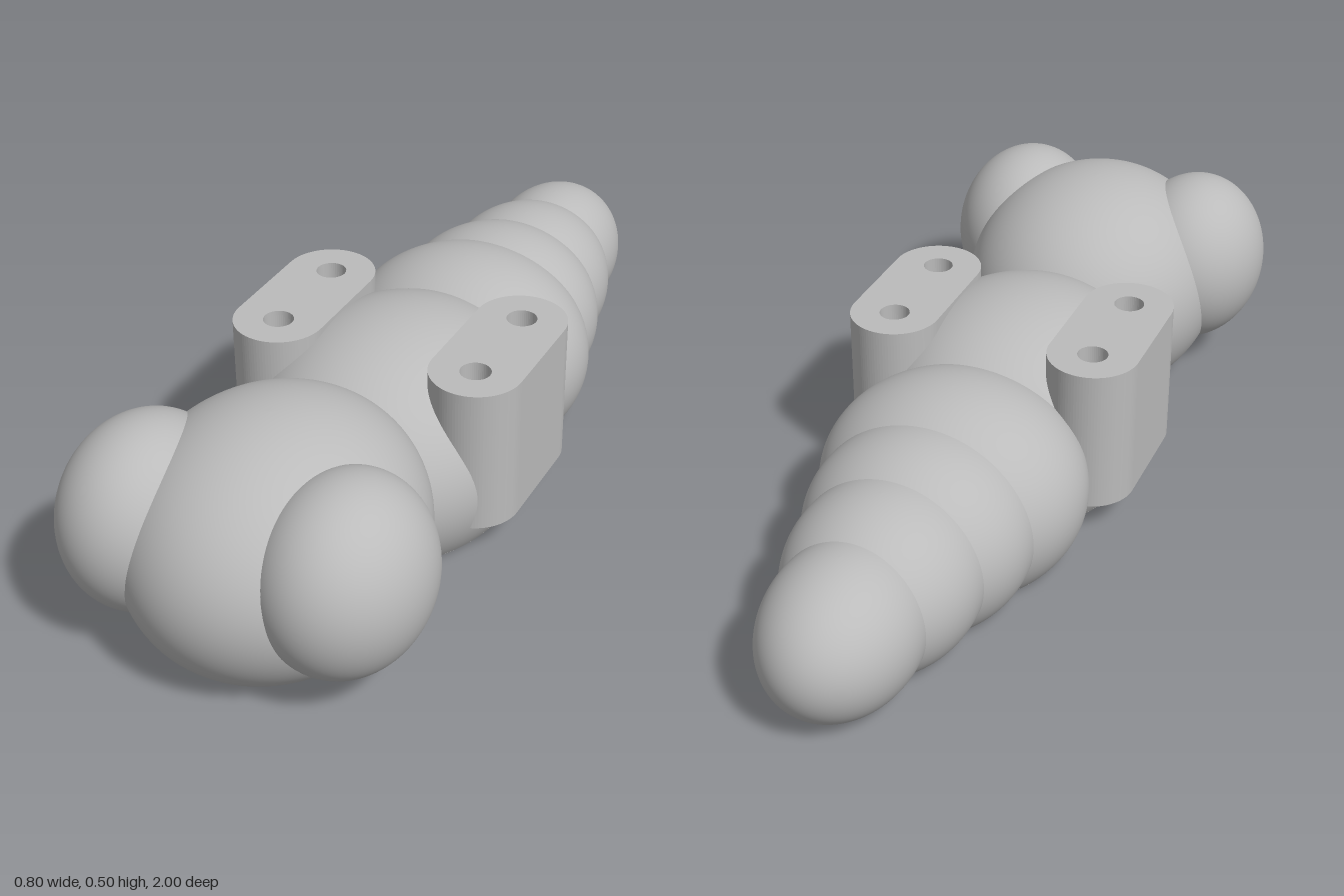
import * as THREE from 'three';

// Body segments, head to tail: centre height and depth, radii, and the depth range kept
const SEGMENTS = [
  { name: 'head', cy: 0.22, cz: 0.645, r: [0.31, 0.285, 0.355], range: [0.25, 1] },
  { name: 'thorax', cy: 0.15, cz: 0.12, r: [0.324, 0.285, 0.385], range: [-0.16, 0.6] },
  { name: 'abdomenFront', cy: 0.155, cz: -0.245, r: [0.3, 0.25, 0.28], range: [-0.6, -0.08] },
  { name: 'abdomenMiddle', cy: 0.155, cz: -0.425, r: [0.252, 0.225, 0.25], range: [-0.7, -0.36] },
  { name: 'abdomenRear', cy: 0.155, cz: -0.595, r: [0.21, 0.2, 0.245], range: [-0.9, -0.5] },
  { name: 'tail', cy: 0.155, cz: -0.78, r: [0.165, 0.172, 0.22], range: [-1, -0.66] },
];
const SOCKETS = [{ z: -0.01, r: 0.05 }, { z: -0.25, r: 0.056 }];
const SOCKET_DEPTH = 0.25;

// Ellipsoid cut flat at the ground and trimmed where it enters its neighbours
function segmentGeometry({ cy, cz, r, range }) {
  const start = Math.asin(-cy / r[1]);
  const profile = [];
  for (let i = 0; i <= 48; i++) {
    const a = start + (Math.PI / 2 - start) * (i / 48);
    profile.push(new THREE.Vector2(Math.max(0, Math.cos(a)), Math.sin(a)));
  }
  const geo = new THREE.LatheGeometry(profile, 96);
  geo.scale(...r).translate(0, cy, cz);
  const pos = geo.attributes.position;
  for (let i = 0; i < pos.count; i++) {
    pos.setZ(i, THREE.MathUtils.clamp(pos.getZ(i), ...range));
  }
  return geo;
}

// Half width of the flat underside at a given depth
function footprint(z) {
  return Math.max(0.001, ...SEGMENTS.map(({ cy, cz, r }) => {
    const k = 1 - (cy / r[1]) ** 2 - ((z - cz) / r[2]) ** 2;
    return k > 0 ? r[0] * Math.sqrt(k) : 0;
  }));
}

function circlePath(x, y, r) {
  return new THREE.Path().absarc(x, y, r, 0, Math.PI * 2, true);
}

function undersideGeometry() {
  const side = [];
  for (let i = 0; i <= 240; i++) {
    const z = -0.872 + 1.742 * (i / 240);
    side.push(new THREE.Vector2(footprint(z), z));
  }
  const other = side.map((p) => new THREE.Vector2(-p.x, p.y)).reverse();
  const shape = new THREE.Shape([...side, ...other]);
  for (const { z, r } of SOCKETS) shape.holes.push(circlePath(0, z, r));
  return new THREE.ShapeGeometry(shape, 32).rotateX(Math.PI / 2);
}

// Stadium-shaped block standing upright, with optional bolt holes
function padGeometry(height, withHoles) {
  const r = 0.103, half = 0.115;
  const shape = new THREE.Shape();
  shape.absarc(0, half, r, 0, Math.PI, false);
  shape.absarc(0, -half, r, Math.PI, Math.PI * 2, false);
  shape.closePath();
  if (withHoles) for (const s of [-1, 1]) shape.holes.push(circlePath(0, s * 0.12, 0.034));
  return new THREE.ExtrudeGeometry(shape, { depth: height, bevelEnabled: false, curveSegments: 24 })
    .rotateX(-Math.PI / 2);
}

export function createModel() {
  const group = new THREE.Group();
  group.name = 'insectBody';
  const grey = new THREE.MeshStandardMaterial({ color: 0xbbbbbb, side: THREE.DoubleSide });
  grey.name = 'grey';

  function add(name, geometry, x = 0, y = 0, z = 0, parent = group) {
    const mesh = new THREE.Mesh(geometry, grey);
    mesh.name = name;
    mesh.position.set(x, y, z);
    parent.add(mesh);
    return mesh;
  }

  // Body and flat underside
  for (const segment of SEGMENTS) add(segment.name, segmentGeometry(segment));
  add('underside', undersideGeometry());

  // Round sockets sunk into the underside
  for (const { z, r } of SOCKETS) {
    add('socketWall', new THREE.CylinderGeometry(r, r, SOCKET_DEPTH, 32, 1, true), 0, SOCKET_DEPTH / 2, z);
    add('socketEnd', new THREE.CircleGeometry(r, 32).rotateX(Math.PI / 2), 0, SOCKET_DEPTH, z);
  }

  for (const side of [-1, 1]) {
    const label = side > 0 ? 'left' : 'right';

    // Bulging eyes
    const eye = add(label + 'Eye', new THREE.SphereGeometry(1, 64, 48), side * 0.225, 0.272, 0.76);
    eye.scale.set(0.175, 0.209, 0.209);

    // Wing mounts: solid base below, drilled block above
    const mount = new THREE.Group();
    mount.name = label + 'WingMount';
    mount.position.set(side * 0.238, 0, 0.092);
    add('mountBase', padGeometry(0.135, false), 0, 0.08, 0, mount);
    add('mountTop', padGeometry(0.202, true), 0, 0.215, 0, mount);
    group.add(mount);
  }

  return group;
}
